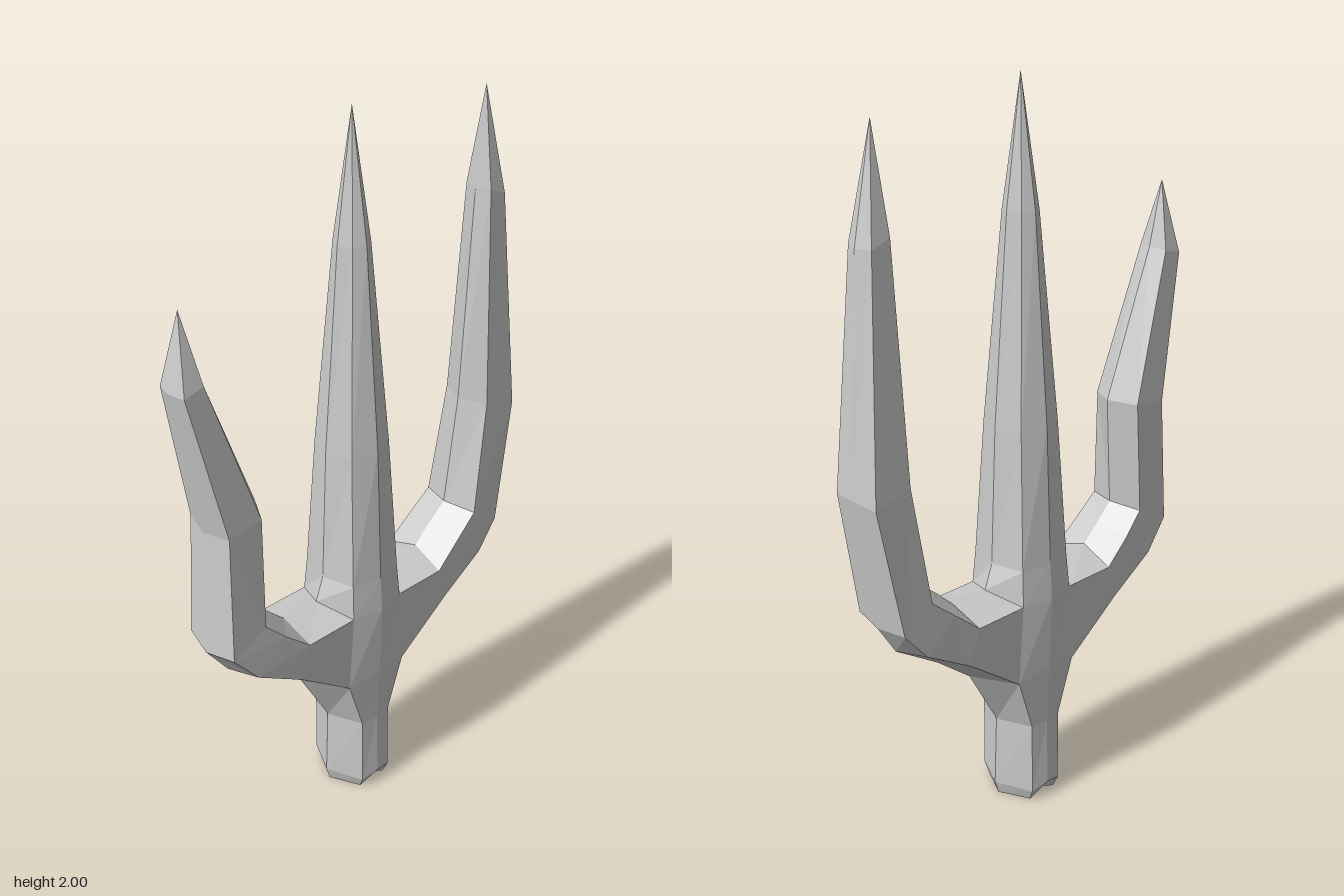
import * as THREE from 'three';

const material = new THREE.MeshStandardMaterial({ color: 0xcccccc, flatShading: true });

// Skins a list of equal-sized rings; closes the bottom if asked, ends in a tip point.
function loft(name, rings, tip, { flip = false, capStart = false } = {}) {
  const out = [];
  const tri = (a, b, c) => out.push(...a, ...(flip ? c : b), ...(flip ? b : c));
  const n = rings[0].length;
  for (let j = 0; j < n; j++) {
    const k = (j + 1) % n;
    for (let i = 0; i < rings.length - 1; i++) {
      const [a, b, c, d] = [rings[i][j], rings[i][k], rings[i + 1][j], rings[i + 1][k]];
      tri(a, c, b);
      tri(b, c, d);
    }
    const last = rings[rings.length - 1];
    tri(last[j], tip, last[k]);
    if (capStart) tri([0, rings[0][0][1], 0], rings[0][j], rings[0][k]);
  }
  const geometry = new THREE.BufferGeometry();
  geometry.setAttribute('position', new THREE.Float32BufferAttribute(out, 3));
  geometry.computeVertexNormals();
  const mesh = new THREE.Mesh(geometry, material);
  mesh.name = name;
  return mesh;
}

// Eight-sided section: side ridges, four corners, front and back ridges.
const shaftRing = ([sideX, sideY, cornerX, cornerY, cornerZ, ridgeY, ridgeZ]) => [
  [sideX, sideY, 0], [cornerX, cornerY, cornerZ], [0, ridgeY, ridgeZ], [-cornerX, cornerY, cornerZ],
  [-sideX, sideY, 0], [-cornerX, cornerY, -cornerZ], [0, ridgeY, -ridgeZ], [cornerX, cornerY, -cornerZ],
];

// Six-sided section: outer ridge, flat front, inner ridge, flat back.
const prongRing = (side) => ([ox, oy, fox, foy, fix, fiy, ix, iy, d]) => [
  [side * ox, oy, 0], [side * fox, foy, d], [side * fix, fiy, d],
  [side * ix, iy, 0], [side * fix, fiy, -d], [side * fox, foy, -d],
];

// Lower arm shared by both side prongs
const arm = [
  [0.19, 0.43, 0.10, 0.41, 0.085, 0.64, 0.13, 0.67, 0.10],
  [0.30, 0.52, 0.27, 0.54, 0.24, 0.64, 0.245, 0.675, 0.10],
  [0.435, 0.61, 0.41, 0.625, 0.315, 0.705, 0.297, 0.725, 0.095],
];

export function createModel() {
  const group = new THREE.Group();
  group.name = 'trident';

  // Handle stub, hub and middle spike in one skin
  const shaft = [
    [0.088, 0.00, 0.045, 0.00, 0.085, 0.015, 0.075],
    [0.10, 0.04, 0.05, 0.035, 0.10, 0.05, 0.11],
    [0.093, 0.25, 0.05, 0.25, 0.098, 0.25, 0.105],
    [0.19, 0.43, 0.10, 0.41, 0.10, 0.43, 0.115],
    [0.13, 0.67, 0.085, 0.64, 0.10, 0.64, 0.12],
    [0.105, 0.74, 0.08, 0.74, 0.092, 0.74, 0.113],
    [0.09, 1.12, 0.065, 1.12, 0.07, 1.12, 0.097],
    [0.047, 1.67, 0.03, 1.67, 0.035, 1.67, 0.052],
  ].map(shaftRing);
  group.add(loft('shaftAndMiddleSpike', shaft, [0, 2, 0], { capStart: true }));

  // Long left prong
  const left = [
    ...arm,
    [0.49, 0.70, 0.475, 0.705, 0.385, 0.765, 0.355, 0.775, 0.09],
    [0.55, 1.07, 0.535, 1.06, 0.43, 1.09, 0.395, 1.09, 0.075],
    [0.505, 1.67, 0.49, 1.67, 0.437, 1.69, 0.425, 1.69, 0.042],
  ].map(prongRing(1));
  group.add(loft('leftProng', left, [0.447, 1.95, 0]));

  // Shorter, bent right prong
  const right = [
    ...arm,
    [0.50, 0.70, 0.48, 0.71, 0.375, 0.765, 0.345, 0.775, 0.088],
    [0.485, 1.06, 0.465, 1.065, 0.365, 1.08, 0.325, 1.085, 0.075],
    [0.555, 1.465, 0.545, 1.465, 0.49, 1.48, 0.475, 1.485, 0.045],
  ].map(prongRing(-1));
  group.add(loft('rightProng', right, [-0.515, 1.66, 0], { flip: true }));

  return group;
}
